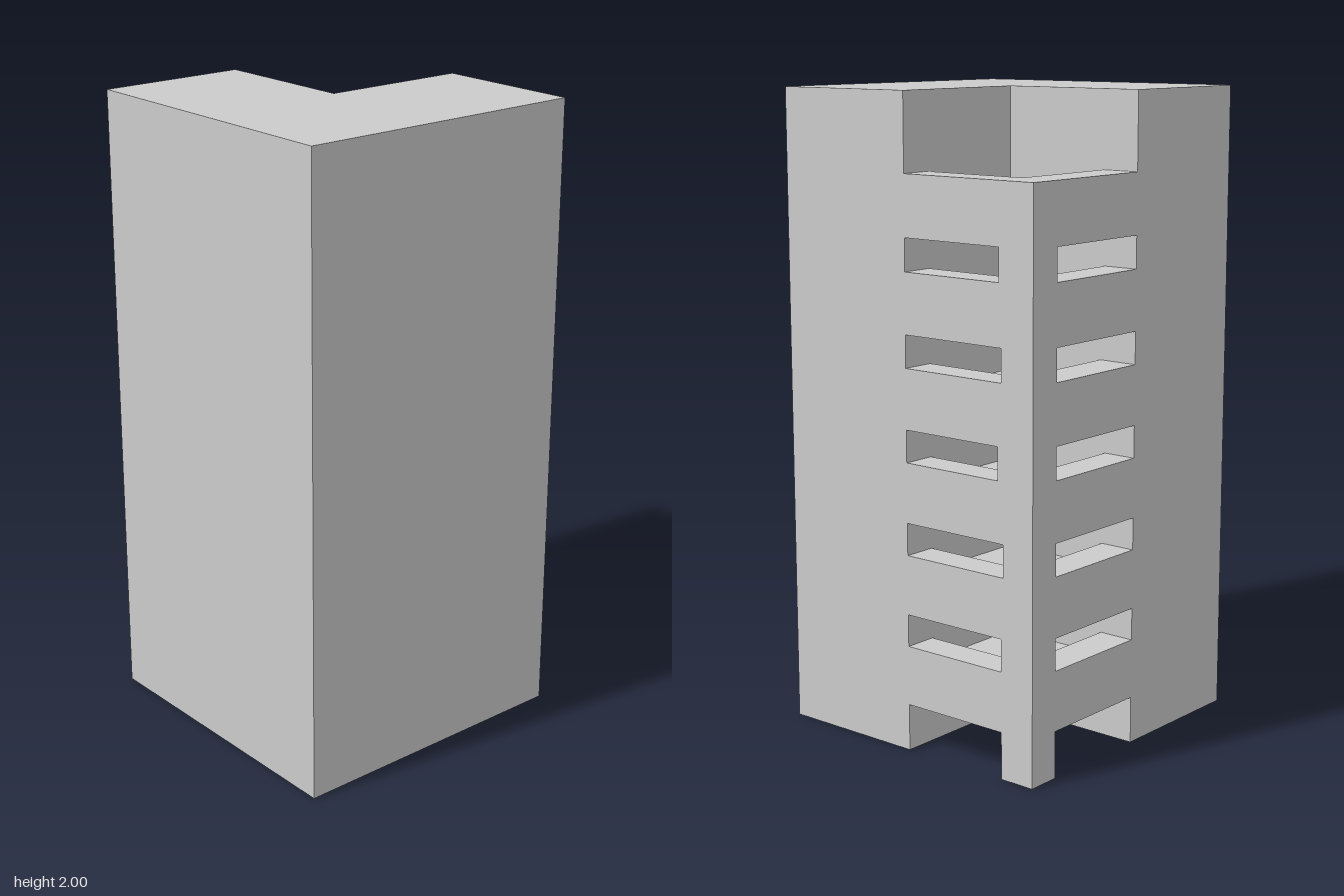
import * as THREE from 'three';

const HALF = 0.483;     // half of the square footprint
const HEIGHT = 2;
const PILLAR_X = 0.376; // inner face of the side parapet and pillar
const STOREY = 0.2665 + 0.0195;
const BAND = 0.186;     // height of a slab with its parapet
const LIP = 0.07;       // parapet height above the balcony floor

export function createModel() {
  const group = new THREE.Group();
  const material = new THREE.MeshStandardMaterial({ color: 0xcccccc });

  const add = (name, geometry) => {
    const mesh = new THREE.Mesh(geometry, material);
    mesh.name = name;
    group.add(mesh);
  };
  const box = (name, x0, x1, y0, y1, z0, z1) => add(name,
    new THREE.BoxGeometry(x1 - x0, y1 - y0, z1 - z0)
      .translate((x0 + x1) / 2, (y0 + y1) / 2, (z0 + z1) / 2));
  // Plan outline in [x, z], raised from y0 to y1
  const prism = (name, plan, y0, y1) => {
    const shape = new THREE.Shape(plan.map(([x, z]) => new THREE.Vector2(x, -z)));
    const geometry = new THREE.ExtrudeGeometry(shape, { depth: y1 - y0, bevelEnabled: false });
    add(name, geometry.rotateX(-Math.PI / 2).translate(0, y0, 0));
  };

  // L-shaped tower body, open at the back corner
  prism('towerBody', [
    [-HALF, HALF], [HALF, HALF], [HALF, 0], [0, 0], [0, -HALF], [-HALF, -HALF],
  ], 0, HEIGHT);

  // Inner face of each storey's pillar, from the ground up
  const pillarZ = [-0.366, -0.366, -0.374, -0.353, -0.367, -0.357];
  pillarZ.forEach((z, i) => {
    const opening = i * STOREY + (i ? 0.045 : 0);
    const bottom = i * STOREY + 0.146;
    const top = bottom + BAND;
    const floor = top - LIP;

    // Corner pillar standing between two balcony bands
    box('cornerPillar', PILLAR_X, HALF, i ? opening : 0, bottom, -HALF, z);
    // Balcony slab
    box('balconySlab', 0, HALF, bottom, floor, -HALF, 0);
    // Parapet around the two outer sides
    prism('balconyParapet', [
      [0, -HALF], [0, z], [PILLAR_X, z], [PILLAR_X, 0], [HALF, 0], [HALF, -HALF],
    ], floor, top);
  });

  return group;
}
